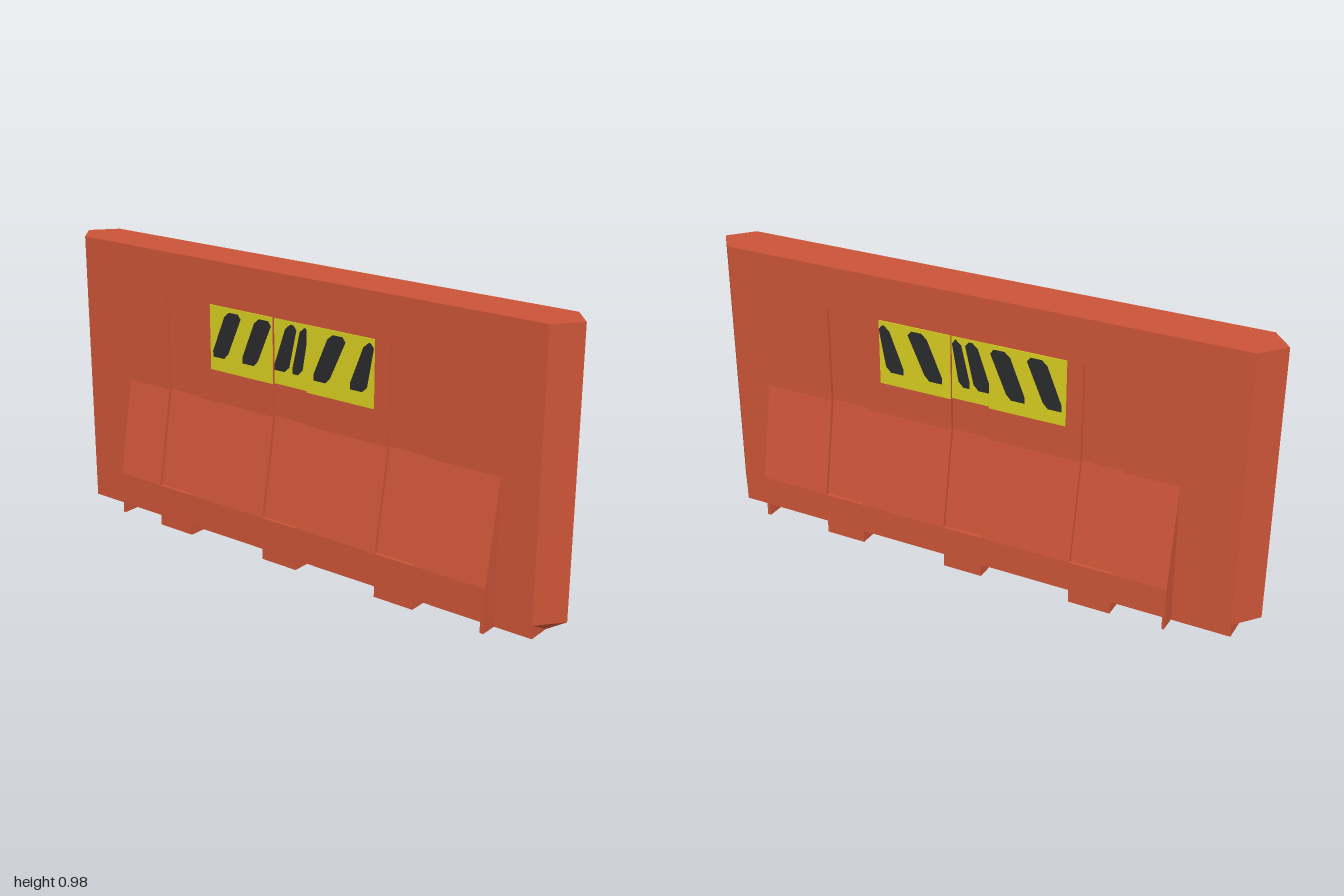
import * as THREE from 'three';
import { ConvexGeometry } from 'three/addons/geometries/ConvexGeometry.js';

const orange = new THREE.MeshStandardMaterial({ color: 0xcb5437 });
orange.name = 'orange plastic';
const yellow = new THREE.MeshStandardMaterial({ color: 0xd6cd20 });
yellow.name = 'yellow sign';
const black = new THREE.MeshStandardMaterial({ color: 0x292a2c });
black.name = 'black stripe';

const H = 0.98, W = 0.085, SKIRT = 0.147, RECESS = 0.012, NOTCH = 0.045;
const BODY = 0.93; // half length of the straight body

// Half profiles as [z, y], bottom to top
const upper = [[SKIRT, 0.15], [W, 0.49], [W, H]];
const profiles = {
  slab: [[W, 0], [W, H]],
  notch: [[W, 0], [W, NOTCH], [SKIRT, NOTCH], ...upper],
  foot: [[SKIRT, 0], ...upper],
  recess: [[SKIRT, 0], [SKIRT, 0.15], [SKIRT - RECESS, 0.15], [W - RECESS, 0.49],
    [W - RECESS, 0.83], [W, 0.83], [W, H]],
};

// Consecutive lengths of the body: start x and profile
const segments = [
  [-BODY, 'slab'], [-0.73, 'foot'], [-0.722, 'notch'], [-0.542, 'recess'],
  [-0.395, 'notch'], [-0.072, 'recess'], [0.07, 'notch'], [0.39, 'recess'],
  [0.538, 'notch'], [0.785, 'foot'], [0.798, 'slab'], [BODY, null],
];

function polygon(points) {
  return new THREE.Shape(points.map(([x, y]) => new THREE.Vector2(x, y)));
}

function add(group, name, geometry, material) {
  const mesh = new THREE.Mesh(geometry, material);
  mesh.name = name;
  group.add(mesh);
  return mesh;
}

function bodySegment(x0, x1, half) {
  const mirrored = half.map(([z, y]) => [-z, y]).reverse();
  const geometry = new THREE.ExtrudeGeometry(polygon([...half, ...mirrored]),
    { depth: x1 - x0, bevelEnabled: false });
  return geometry.rotateY(Math.PI / 2).translate(x0, 0, 0);
}

// Pointed end with an undercut bottom
function endGeometry() {
  return new ConvexGeometry([
    [BODY, H, W], [BODY, H, -W], [1, H, 0], [1, NOTCH, 0],
    [BODY, NOTCH, W], [BODY, NOTCH, -W], [BODY, 0, 0],
  ].map((p) => new THREE.Vector3(...p)));
}

// Slanted stripe with clipped corners; b = bottom x range, t = top x range
function stripeShape([b0, b1, t0, t1]) {
  return polygon([
    [b0, 0.652], [b1 - 0.018, 0.652], [b1, 0.67], [t1, 0.8],
    [t1 - 0.012, 0.815], [t0 + 0.02, 0.815], [t0, 0.798], [b0, 0.672],
  ]);
}

// Sign panels: x range, depth of the face below, stripes
const signPanels = [
  [-0.34, -0.072, W, [[-0.327, -0.262, -0.275, -0.205], [-0.198, -0.133, -0.146, -0.076]]],
  [-0.072, 0.07, W - RECESS, [[-0.07, -0.01, -0.025, 0.02], [0.005, 0.045, 0.035, 0.068]]],
  [0.07, 0.335, W, [[0.1, 0.165, 0.155, 0.225], [0.245, 0.31, 0.295, 0.334]]],
];

function plate(group, name, shape, face, side, thickness, material) {
  const geometry = new THREE.ExtrudeGeometry(shape, { depth: thickness, bevelEnabled: false });
  add(group, name, geometry, material).position.z = side > 0 ? face : -face - thickness;
}

export function createModel() {
  const model = new THREE.Group();
  model.name = 'roadBarrier';

  // Body with skirts, notched feet and recessed channels
  const body = new THREE.Group();
  body.name = 'body';
  model.add(body);
  for (let i = 0; i < segments.length - 1; i++) {
    const [x0, kind] = segments[i];
    add(body, kind + 'Section', bodySegment(x0, segments[i + 1][0], profiles[kind]), orange);
  }

  // Pointed ends
  add(model, 'leftEnd', endGeometry(), orange);
  add(model, 'rightEnd', endGeometry().rotateY(Math.PI), orange);

  // Warning signs on both faces, following the middle channel
  for (const side of [1, -1]) {
    const sign = new THREE.Group();
    sign.name = side > 0 ? 'frontSign' : 'backSign';
    model.add(sign);
    for (const [x0, x1, face, stripes] of signPanels) {
      const panel = polygon([[x0, 0.605], [x1, 0.605], [x1, 0.83], [x0, 0.83]]);
      plate(sign, 'signPanel', panel, face, side, 0.004, yellow);
      for (const s of stripes) plate(sign, 'signStripe', stripeShape(s), face, side, 0.006, black);
    }
  }
  return model;
}
